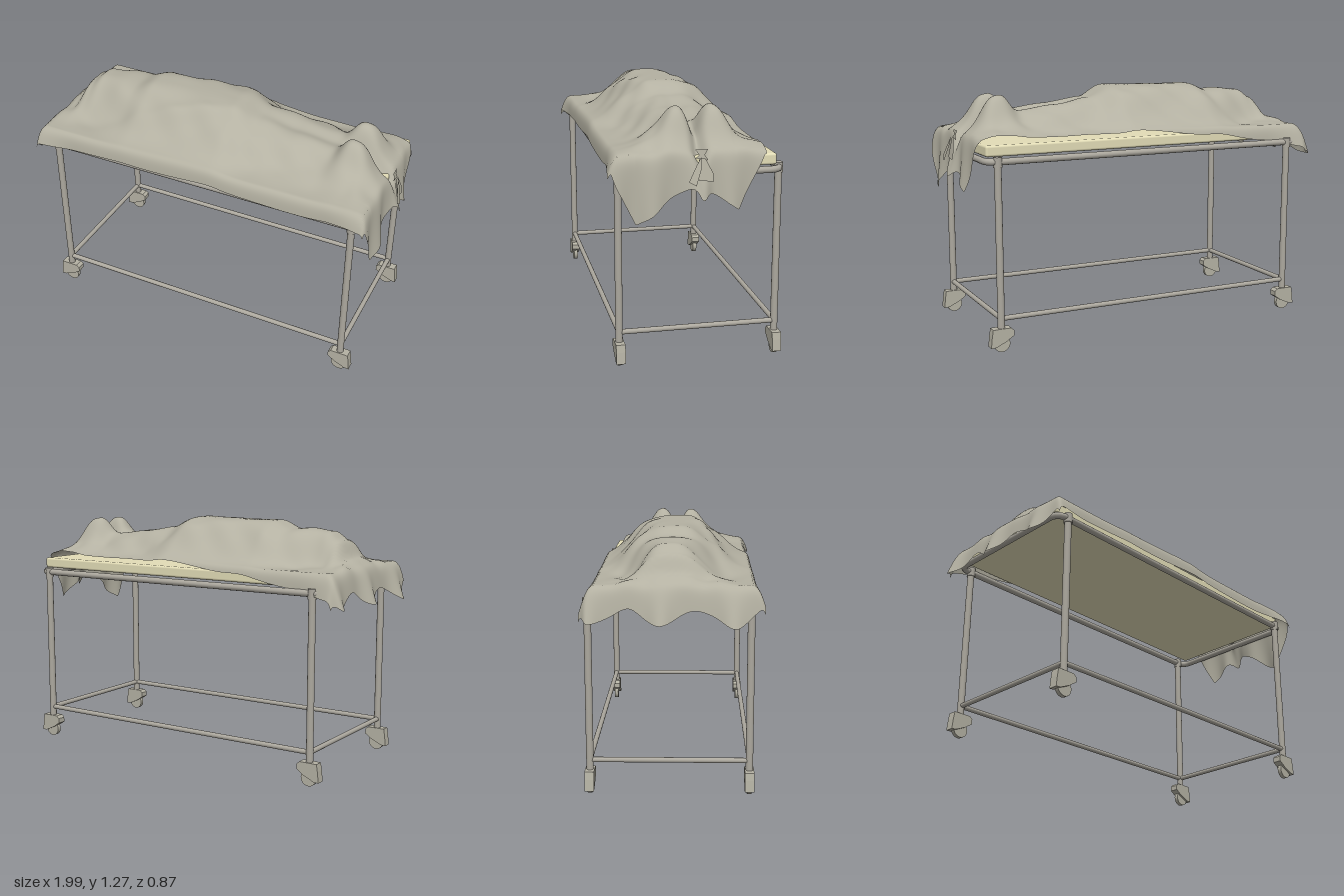
import * as THREE from 'three';
import { RoundedBoxGeometry } from 'three/addons/geometries/RoundedBoxGeometry.js';

const linen = new THREE.MeshStandardMaterial({ color: 0xb4b1a2, side: THREE.DoubleSide });
linen.name = 'linen';
const metal = new THREE.MeshStandardMaterial({ color: 0xaca89e });
metal.name = 'metal';
const casterGrey = new THREE.MeshStandardMaterial({ color: 0xb5b2a4 });
casterGrey.name = 'casterGrey';
const foam = new THREE.MeshStandardMaterial({ color: 0xe3ddb7 });
foam.name = 'foam';

const LEFT_X = 0.853, RIGHT_X = -0.83, FRONT_Z = 0.38, BACK_Z = -0.4;
const { lerp, clamp, smoothstep } = THREE.MathUtils;

// Interpolation through [position, value] pairs
function profile(points, smooth = true) {
  return (p) => {
    if (p <= points[0][0]) return points[0][1];
    for (let i = 1; i < points.length; i++) {
      const [p0, v0] = points[i - 1], [p1, v1] = points[i];
      if (p <= p1) {
        const t = (p - p0) / (p1 - p0);
        return v0 + (v1 - v0) * (smooth ? t * t * (3 - 2 * t) : t);
      }
    }
    return points[points.length - 1][1];
  };
}

const hump = (d, width, power = 2) => Math.exp(-Math.pow(Math.abs(d / width), power));

function add(group, name, geometry, material) {
  const mesh = new THREE.Mesh(geometry, material);
  mesh.name = name;
  group.add(mesh);
  return mesh;
}

function bar(group, name, from, to, radius) {
  const a = new THREE.Vector3(...from), b = new THREE.Vector3(...to);
  const mesh = add(group, name, new THREE.CylinderGeometry(radius, radius, a.distanceTo(b), 16), metal);
  mesh.position.copy(a).add(b).multiplyScalar(0.5);
  mesh.quaternion.setFromUnitVectors(new THREE.Vector3(0, 1, 0), b.sub(a).normalize());
}

// Rounded rectangular tube around the mattress
function topRail() {
  const x0 = -0.9, x1 = 0.905, z0 = BACK_Z, z1 = FRONT_Z, r = 0.06, y = 0.952;
  const v = (px, pz) => new THREE.Vector3(px, y, pz);
  const path = new THREE.CurvePath();
  const corners = [[x0, z1, 0, 1], [x1, z1, 1, 0], [x1, z0, 0, -1], [x0, z0, -1, 0]];
  corners.forEach(([cx, cz, inX, inZ], i) => {
    const [nx, nz, outX, outZ] = corners[(i + 1) % 4];
    const start = v(cx - inX * r, cz - inZ * r), end = v(cx + outX * r, cz + outZ * r);
    path.add(new THREE.QuadraticBezierCurve3(start, v(cx, cz), end));
    path.add(new THREE.LineCurve3(end, v(nx - outX * r, nz - outZ * r)));
  });
  return new THREE.TubeGeometry(path, 260, 0.017, 12, true);
}

// Hooded swivel wheel, low side facing outward
function caster(side) {
  const group = new THREE.Group();
  group.name = 'caster';
  const points = [[-0.06, 0.108], [-0.045, 0.122], [0.05, 0.122], [0.056, 0.085], [0.062, 0.028],
    [0.035, 0.03], [-0.02, 0.055], [-0.06, 0.082]];
  const shape = new THREE.Shape(points.map(([x, y]) => new THREE.Vector2(x * side, y)));
  const housing = new THREE.ExtrudeGeometry(shape, { depth: 0.046, bevelEnabled: false });
  housing.translate(0, 0, -0.023);
  add(group, 'casterHousing', housing, casterGrey);
  const wheel = add(group, 'casterWheel', new THREE.CylinderGeometry(0.042, 0.042, 0.022, 24), casterGrey);
  wheel.rotation.x = Math.PI / 2;
  wheel.position.y = 0.042;
  return group;
}

// Ridge height and half width of the covered figure along x
const ridge = profile([[-0.93, 1.045], [-0.86, 1.09], [-0.8, 1.18], [-0.73, 1.222], [-0.6, 1.235], [-0.52, 1.228],
  [-0.4, 1.268], [0.07, 1.272], [0.22, 1.215], [0.42, 1.19], [0.65, 1.165], [0.8, 1.14], [0.93, 1.055]]);
const breadth = profile([[-0.9, 0.2], [-0.72, 0.16], [-0.42, 0.25], [0.08, 0.28], [0.3, 0.22], [0.6, 0.21], [0.76, 0.27], [0.9, 0.3]]);
// Hem lengths: ends as a function of z, back edge as a function of x
const footHem = profile([[-0.34, 0], [-0.31, 0.02], [-0.18, 0.29], [0.02, 0.15], [0.31, 0.33], [0.44, 0.06]], false);
const headHem = profile([[-0.48, 0.12], [-0.38, 0.18], [-0.2, 0.13], [-0.05, 0.2], [0.13, 0.13], [0.3, 0.2], [0.46, 0.1]]);
const backHem = profile([[-0.95, 0.13], [-0.7, 0.09], [-0.35, 0.045], [0.1, 0.012], [0.4, -0.02], [0.95, -0.045]]);

function bodyHeight(x, z) {
  let y = 1.048 + (ridge(x) - 1.048) * hump(z, breadth(x), z > 0 ? 2.8 : 3.2);
  // Raised feet with a gap between them
  for (const fz of [-0.095, 0.085]) y += 0.1 * hump(x - 0.745, 0.075, 3) * hump(z - fz, 0.075, 2.4);
  const nearFeet = smoothstep(x, 0.64, 0.74) * (1 - smoothstep(x, 0.88, 0.95));
  y -= 0.06 * nearFeet * hump(z, 0.028);
  // Hollow between the legs, soft folds and creases
  y -= 0.018 * smoothstep(x, 0.12, 0.4) * hump(z, 0.05);
  const slope = hump(Math.abs(z) - 0.19, 0.1);
  y += slope * (0.007 * Math.sin(x * 13 + z * 24) + 0.005 * Math.sin(x * 27 - z * 31 + 1));
  y += 0.012 * hump(z - 0.13 + 0.25 * x, 0.04) * hump(x + 0.15, 0.3);
  return y;
}

function drapedSheet() {
  const nx = 150, nz = 90, positions = [], index = [];
  const edgeX = 0.9, frontEdge = 0.385, backEdge = 0.365, frontHem = 0.095;
  const bend = (d) => 0.025 * (1 - Math.exp(-d / 0.025));
  for (let i = 0; i <= nx; i++) {
    for (let j = 0; j <= nz; j++) {
      const t = i / nx, s = j / nz;
      const guess = lerp(-backEdge - backHem(lerp(-0.95, 0.95, t)), frontEdge + frontHem, s);
      const a = lerp(-edgeX - headHem(guess), edgeX + 0.01 + footHem(guess), t);
      const b = lerp(-backEdge - backHem(a), frontEdge + frontHem, s);
      const cx = clamp(a, -edgeX, edgeX), cz = clamp(b, -backEdge, frontEdge);
      const overX = Math.abs(a - cx), overZ = Math.abs(b - cz);
      // Cloth bends over the edge, then hangs with a little flare
      const flareX = a < 0
        ? 0.15 + 0.22 * Math.pow(Math.cos((b + 0.05) * 9.24), 6)
        : 0.09 + 0.05 * Math.sin(b * 34) + 0.25 * hump(b, 0.04);
      const corner = smoothstep(Math.abs(a), 0.7, 0.95);
      const x = cx + Math.sign(a) * (bend(overX) + flareX * overX);
      const z = cz + Math.sign(b) * (bend(overZ) + overZ * (0.06 + 0.25 * corner));
      const over = Math.hypot(overX, overZ);
      const y = bodyHeight(cx, cz) - over + bend(over) * 0.4 + 0.004 * Math.sin(a * 9) * Math.min(1, overZ * 12);
      positions.push(x, y, z);
      if (i < nx && j < nz) {
        const p = i * (nz + 1) + j, q = p + nz + 1;
        index.push(p, p + 1, q, p + 1, q + 1, q);
      }
    }
  }
  const geometry = new THREE.BufferGeometry();
  geometry.setAttribute('position', new THREE.Float32BufferAttribute(positions, 3));
  geometry.setIndex(index);
  geometry.computeVertexNormals();
  return geometry;
}

// Gathered tuft of cloth at the foot end
function tuft() {
  const group = new THREE.Group();
  group.name = 'clothTuft';
  const tails = [
    [[0.005, 1.04], [0.03, 1.0], [0.07, 0.925], [0.035, 0.905], [0.005, 0.99]],
    [[0.015, 1.03], [0.02, 0.93], [-0.05, 0.92], [-0.05, 0.96], [-0.015, 1.03]],
    [[0.03, 1.07], [-0.03, 1.07], [-0.015, 1.045], [-0.03, 1.02], [0.03, 1.03], [0.012, 1.045]],
  ];
  tails.forEach((points, i) => {
    const shape = new THREE.Shape(points.map(([z, y]) => new THREE.Vector2(-z, y - 1.04)));
    const tail = add(group, 'tuftFold', new THREE.ShapeGeometry(shape), linen);
    tail.rotation.set(-0.25 + i * 0.05, Math.PI / 2, 0, 'YXZ');
    tail.position.set(0.955 - i * 0.008, 1.04, 0);
  });
  return group;
}

export function createModel() {
  const model = new THREE.Group();
  model.name = 'coveredTrolley';

  // Frame
  const frame = new THREE.Group();
  frame.name = 'frame';
  model.add(frame);
  add(frame, 'topRail', topRail(), metal);
  for (const x of [RIGHT_X, LEFT_X]) {
    for (const z of [FRONT_Z, BACK_Z]) {
      bar(frame, 'leg', [x, 0.11, z], [x, 0.96, z], 0.018);
      bar(frame, 'legSocket', [x, 0.925, z], [x, 0.976, z], 0.022);
      const wheelSet = caster(Math.sign(x));
      wheelSet.position.set(x, 0, z);
      frame.add(wheelSet);
    }
    bar(frame, 'endRail', [x, 0.17, FRONT_Z], [x, 0.17, BACK_Z], 0.013);
  }
  for (const z of [FRONT_Z, BACK_Z]) {
    bar(frame, 'sideRail', [RIGHT_X, 0.17, z], [LEFT_X, 0.17, z], 0.013);
  }

  // Mattress
  const mattress = add(model, 'mattress', new RoundedBoxGeometry(1.8, 0.056, 0.738, 2, 0.012), foam);
  mattress.position.set(0.003, 1.001, -0.008);

  // Sheet over the figure
  add(model, 'drapedSheet', drapedSheet(), linen);
  model.add(tuft());
  return model;
}
